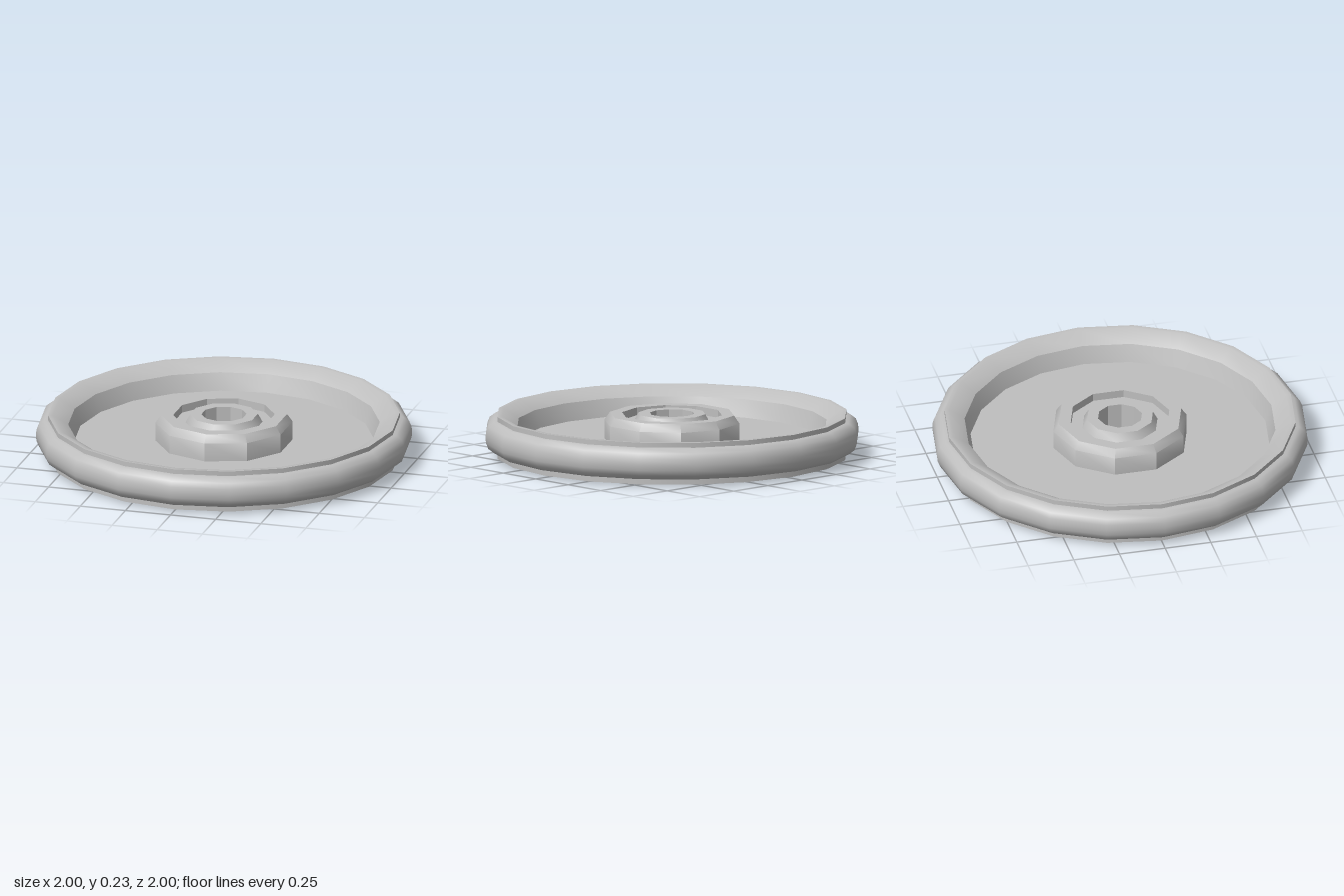
import * as THREE from 'three';
import { toCreasedNormals } from 'three/addons/utils/BufferGeometryUtils.js';

const RIM_SIDES = 20;
const HUB_SIDES = 10;

// Revolves a list of [radius, height] pairs around the vertical axis
function lathe(profile, sides, crease) {
  const points = profile.map(([r, y]) => new THREE.Vector2(r, y));
  return toCreasedNormals(new THREE.LatheGeometry(points, sides), crease);
}

// Regular polygon with one corner on the z axis
function polygon(radius, sides) {
  return Array.from({ length: sides }, (_, i) => {
    const a = (i / sides) * Math.PI * 2;
    return new THREE.Vector2(Math.sin(a) * radius, Math.cos(a) * radius);
  });
}

// Flat disc with a hub-shaped opening, facing up (1) or down (-1)
function disc(radius, hole, y, facing) {
  const shape = new THREE.Shape(polygon(radius, RIM_SIDES));
  shape.holes.push(new THREE.Path(polygon(hole, HUB_SIDES)));
  return new THREE.ShapeGeometry(shape).rotateX((-facing * Math.PI) / 2).translate(0, y, 0);
}

export function createModel() {
  const group = new THREE.Group();
  const grey = new THREE.MeshStandardMaterial({ color: 0xbfbfbf });
  grey.name = 'plainGrey';

  const add = (name, geometry) => {
    const mesh = new THREE.Mesh(geometry, grey);
    mesh.name = name;
    group.add(mesh);
  };

  // Rounded tyre around the rim
  add('tyre', lathe([
    [0.925, 0.04], [0.955, 0.042], [0.985, 0.065], [0.997, 0.095], [1.0, 0.125],
    [0.997, 0.155], [0.985, 0.185], [0.955, 0.208], [0.925, 0.21],
  ], RIM_SIDES, 0.8));

  // Rim: straight outside, narrow lip, sloped and then steep inside
  add('rim', lathe([
    [0.935, 0.01], [0.935, 0.235], [0.91, 0.235], [0.828, 0.183], [0.796, 0.09],
  ], RIM_SIDES, 0.6));

  // Web between rim and hub
  add('webTop', disc(0.796, 0.365, 0.09, 1));
  add('webBottom', disc(0.935, 0.27, 0.01, -1));

  // Hub: bevelled collar, inner boss, bore and the recess underneath
  add('hub', lathe([
    [0.365, 0.09], [0.365, 0.19], [0.335, 0.232], [0.27, 0.232], [0.27, 0.19],
    [0.205, 0.19], [0.18, 0.235], [0.12, 0.235], [0.12, 0], [0.147, 0],
    [0.18, 0.02], [0.19, 0.06], [0.27, 0.06], [0.27, 0.01],
  ], HUB_SIDES, 0.6));

  return group;
}
